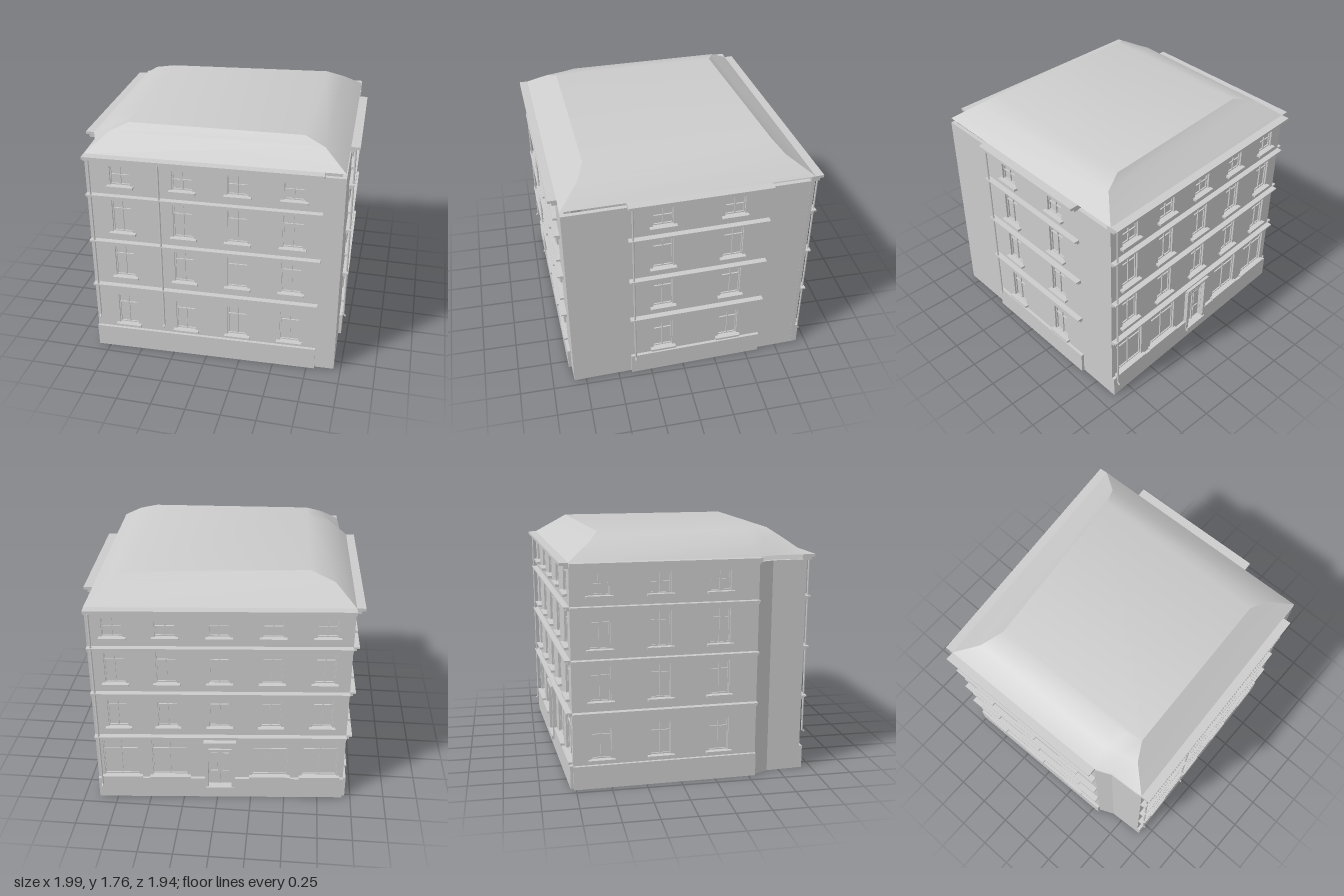
import * as THREE from 'three';
import { toCreasedNormals } from 'three/addons/utils/BufferGeometryUtils.js';

const mat = new THREE.MeshStandardMaterial({ color: 0xcccccc });
const roofMat = new THREE.MeshStandardMaterial({ color: 0xcccccc, side: THREE.DoubleSide });
const WALL_TOP = 1.56, THICK = 0.03, PLINTH = 0.17;

// upper edge of each floor's openings: [bottom, top, transom height]
const FLOORS = [[0.21, 0.455, 0.385], [0.63, 0.875, 0.81], [1.0, 1.25, 1.18], [1.37, 1.515, 1.445]];

function add(group, name, geo, x = 0, y = 0, z = 0) {
  const m = new THREE.Mesh(geo, mat);
  m.name = name;
  m.position.set(x, y, z);
  group.add(m);
  return m;
}

// box given by its span along the wall, its height span and how far it projects
function slab(group, name, u0, u1, y0, y1, out, back = 0) {
  add(group, name, new THREE.BoxGeometry(u1 - u0, y1 - y0, out - back),
    (u0 + u1) / 2, (y0 + y1) / 2, (out + back) / 2);
}

// rectangle with optional rounded upper corners
function rect(target, x0, x1, y0, y1, rl = 0, rr = 0) {
  target.moveTo(x0, y0);
  target.lineTo(x1, y0);
  target.lineTo(x1, y1 - rr);
  if (rr) target.quadraticCurveTo(x1, y1, x1 - rr, y1);
  target.lineTo(x0 + rl, y1);
  if (rl) target.quadraticCurveTo(x0, y1, x0, y1 - rl);
  target.lineTo(x0, y0);
  return target;
}

function extrude(shape, depth) {
  return new THREE.ExtrudeGeometry(shape, { depth, bevelEnabled: false, curveSegments: 4 });
}

// recessed frame with two lower and two upper panes
function addWindow(wall, o) {
  const g = new THREE.Group();
  g.name = 'window';
  const { u, w, y0, y1, ym } = o, h = w / 2, t = 0.008;
  const frame = rect(new THREE.Shape(), u - h, u + h, y0, y1);
  for (const s of [-1, 1]) {
    const a = s < 0 ? u - h + t : u + t / 2, b = s < 0 ? u - t / 2 : u + h - t;
    frame.holes.push(rect(new THREE.Path(), a, b, y0 + t, ym - t / 2));
    frame.holes.push(rect(new THREE.Path(), a, b, ym + t / 2, y1 - t, s < 0 ? 0.015 : 0, s > 0 ? 0.015 : 0));
  }
  add(g, 'windowFrame', extrude(frame, 0.012), 0, 0, -0.026);
  slab(g, 'glass', u - h, u + h, y0, y1, -0.024, -THICK);
  slab(g, 'sill', u - h - 0.022, u + h + 0.022, y0 - 0.017, y0, 0.03, -0.02);
  wall.add(g);
}

// entrance: panelled leaf, fanlight, surround and step
function addDoor(wall, o) {
  const g = new THREE.Group();
  g.name = 'door';
  const { u, w, y0, y1 } = o, h = w / 2;
  slab(g, 'doorLeaf', u - h, u + h, y0, y1, -0.022, -THICK);
  slab(g, 'doorTransom', u - h, u + h, y1 - 0.09, y1 - 0.075, -0.005, -0.03);
  slab(g, 'doorStile', u - 0.005, u + 0.005, y0, y1 - 0.08, -0.012, -0.03);
  for (const s of [-1, 1]) {
    const c = u + s * h / 2;
    slab(g, 'doorPanel', c - h * 0.3, c + h * 0.3, y0 + 0.03, y0 + 0.12, -0.014, -0.03);
    slab(g, 'doorPanel', c - h * 0.3, c + h * 0.3, y0 + 0.15, y1 - 0.11, -0.014, -0.03);
    const e = u + s * (h + 0.014);
    slab(g, 'doorPilaster', e - 0.012, e + 0.012, y0, y1 + 0.005, 0.03);
  }
  slab(g, 'doorHood', u - h - 0.035, u + h + 0.035, y1, y1 + 0.018, 0.04);
  slab(g, 'doorStep', u - h - 0.02, u + h + 0.02, y0 - 0.03, y0, 0.04, -THICK);
  wall.add(g);
}

// one wall from p to q (left to right seen from outside) with its openings and mouldings
function facade(name, p, q, { openings = [], band, pipes = [] } = {}) {
  const g = new THREE.Group();
  g.name = name;
  const dx = q[0] - p[0], dz = q[1] - p[1], len = Math.hypot(dx, dz);
  g.position.set(p[0], 0, p[1]);
  g.rotation.y = Math.atan2(-dz, dx);

  const shape = rect(new THREE.Shape(), 0, len, 0, WALL_TOP);
  for (const o of openings) shape.holes.push(rect(new THREE.Path(), o.u - o.w / 2, o.u + o.w / 2, o.y0, o.y1));
  add(g, 'wall', extrude(shape, THICK), 0, 0, -THICK);
  for (const o of openings) (o.door ? addDoor : addWindow)(g, o);

  if (band) {
    const [a, b] = band;
    // plinth, left open where a door cuts through
    const door = openings.find(o => o.door);
    if (door) {
      const l = door.u - door.w / 2, r = door.u + door.w / 2;
      slab(g, 'plinth', a, l, 0, PLINTH, 0.022);
      slab(g, 'plinth', r, b, 0, PLINTH, 0.022);
      slab(g, 'plinth', l, r, 0, door.y0 - 0.03, 0.022);
    } else slab(g, 'plinth', a, b, 0, PLINTH, 0.022);
    for (const y of [0.53, 0.902, 1.27]) {
      slab(g, 'stringCourse', a, b, y, y + 0.017, 0.022);
      slab(g, 'stringCourseCap', a, b, y + 0.017, y + 0.028, 0.042);
    }
    slab(g, 'corniceLower', a, b, 1.555, 1.575, 0.035, -THICK);
    slab(g, 'corniceUpper', a, b, 1.575, 1.595, 0.062, -THICK);
  }
  for (const [u, y] of pipes) {
    add(g, 'drainpipe', new THREE.CylinderGeometry(0.007, 0.007, WALL_TOP - y, 8), u, (WALL_TOP + y) / 2, 0.03);
    const foot = add(g, 'drainpipeFoot', new THREE.CylinderGeometry(0.007, 0.007, 0.025, 8), u, y - 0.003, 0.037);
    foot.rotation.x = -0.8;
  }
  return g;
}

// a grid of ordinary windows
function windows(us, floors = FLOORS) {
  return floors.flatMap(([y0, y1, ym]) => us.map(u => ({ u, w: 0.145, y0, y1, ym })));
}

// hipped roof lofted through plan outlines, closed by a flat top
function roof() {
  const rings = [
    [1.595, [[-0.84, 0.91], [0.945, 0.84], [0.89, -0.91], [-0.935, -0.765], [-0.905, 0.55], [-0.855, 0.66]]],
    [1.71, [[-0.70, 0.755], [0.785, 0.70], [0.75, -0.73], [-0.79, -0.61], [-0.765, 0.53], [-0.735, 0.62]]],
    [1.76, [[-0.58, 0.69], [0.64, 0.645], [0.62, -0.67], [-0.62, -0.54], [-0.61, 0.49], [-0.60, 0.58]]],
  ];
  const pos = [], idx = [], n = 6;
  for (const [y, pts] of rings) for (const [x, z] of pts) pos.push(x, y, z);
  for (let r = 0; r < 2; r++) for (let i = 0; i < n; i++) {
    const a = r * n + i, b = r * n + (i + 1) % n;
    idx.push(a, b, b + n, a, b + n, a + n);
  }
  for (let i = 1; i < n - 1; i++) idx.push(2 * n, 2 * n + i, 2 * n + i + 1);
  const geo = new THREE.BufferGeometry();
  geo.setAttribute('position', new THREE.Float32BufferAttribute(pos, 3));
  geo.setIndex(idx);
  const m = new THREE.Mesh(toCreasedNormals(geo, 0.5), roofMat);
  m.name = 'roof';
  return m;
}

export function createModel() {
  const model = new THREE.Group();
  model.name = 'apartmentBuilding';
  const FL = [-0.84, 0.91], FR = [0.95, 0.84], BR = [0.89, -0.91], BL = [-0.935, -0.765];
  const C1 = [-0.905, 0.55], C2 = [-0.855, 0.66];

  // street side: shop windows around a central door, five windows on each upper floor
  const bays = [0.18, 0.54, 0.91, 1.28, 1.65];
  const street = windows(bays, FLOORS.slice(1));
  bays.forEach((u, i) => street.push(i === 2
    ? { u, w: 0.17, y0: 0.1, y1: 0.49, door: true }
    : { u, w: 0.26, y0: 0.19, y1: 0.505, ym: 0.42 }));

  model.add(
    facade('frontFacade', FL, FR, {
      openings: windows([0.245, 0.685, 1.07, 1.455]), band: [0, 1.65], pipes: [[0.035, 0.28], [0.525, 0.25]],
    }),
    facade('plusXFacade', FR, BR, {
      openings: windows([0.685, 1.19]), band: [0.44, 1.44], pipes: [[0.47, 0.16]],
    }),
    facade('backFacade', BR, BL, { openings: street, band: [0, 1.83], pipes: [[0.03, 0.12]] }),
    facade('minusXFacade', BL, C1, { openings: windows([0.2, 0.62, 1.04]), band: [0, 1.315] }),
    facade('cornerWall', C1, C2),
    facade('returnWall', C2, FL),
    roof(),
  );
  return model;
}
